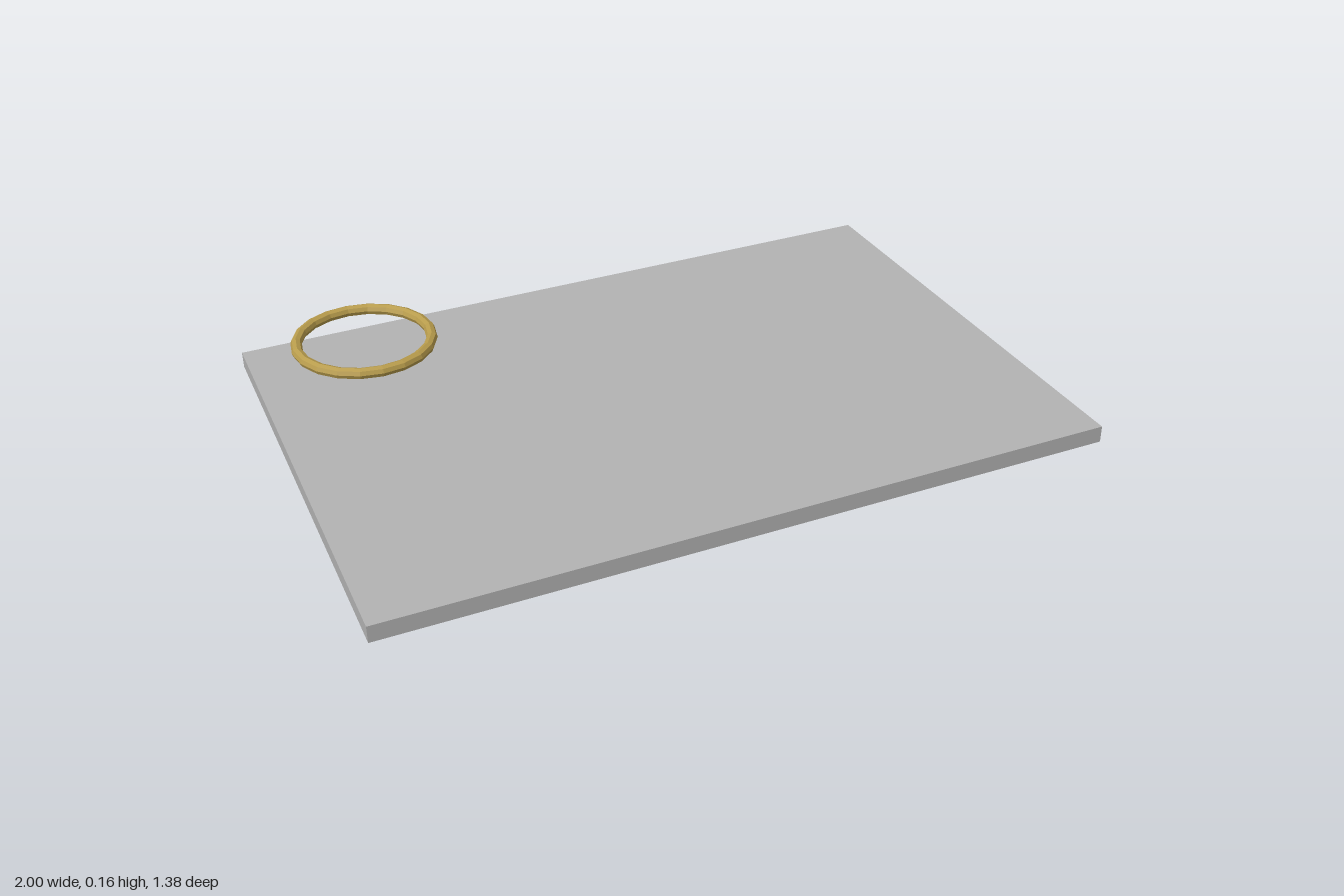
import * as THREE from 'three';

export function createModel() {
  const model = new THREE.Group();
  const grey = new THREE.MeshStandardMaterial({ color: 0xb2b2b2 });
  grey.name = 'light grey';
  const gold = new THREE.MeshStandardMaterial({ color: 0xb89c4c });
  gold.name = 'gold';

  // Flat slab, raised slightly towards +x
  const slab = new THREE.Mesh(new THREE.BoxGeometry(1.999, 0.047, 1.375), grey);
  slab.name = 'slab';
  slab.rotation.z = 0.0195;
  slab.position.y = 0.043;
  model.add(slab);

  // Low-poly ring floating level above the back corner
  const ringGeometry = new THREE.TorusGeometry(0.19, 0.016, 8, 20).toNonIndexed();
  ringGeometry.rotateX(-Math.PI / 2);
  ringGeometry.computeVertexNormals();
  const ring = new THREE.Mesh(ringGeometry, gold);
  ring.name = 'ring';
  ring.position.set(-0.692, 0.143, -0.448);
  model.add(ring);

  return model;
}
